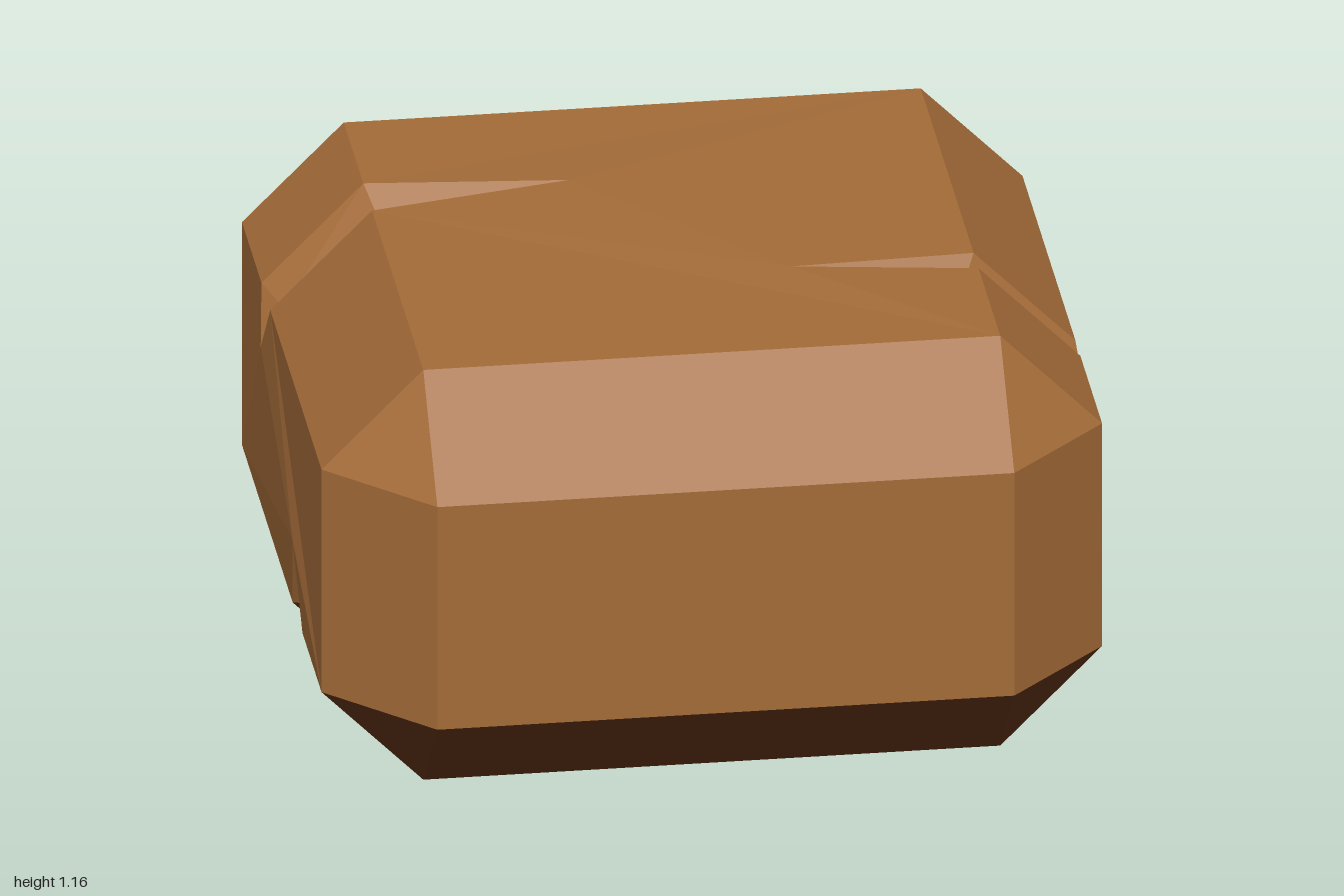
import * as THREE from 'three';

// Chamfered block: outer half-width A, flat half-width a, half-height H, chamfer start h
const A = 0.985, a = 0.728, H = 0.567, h = 0.308, CENTRE_Y = 0.588;

// Cracks running over an upper (sy = 1) or lower (sy = -1) edge of the x sides
const cracks = [
  { sx: 1, sy: 1, z: 0.285, w: 0.045, tip: 0.26, apex: 0.21, depth: 0.06 },
  { sx: -1, sy: 1, z: -0.29, w: 0.08, tip: 0.22, apex: 0.17, depth: 0.07 },
  { sx: -1, sy: -1, z: 0.29, w: 0.09, tip: 0.3, apex: 0.09, depth: 0.07 },
];

const crackAt = (sx, sy) => cracks.find((c) => c.sx === sx && c.sy === sy);

export function createModel() {
  const group = new THREE.Group();
  const brown = new THREE.MeshStandardMaterial({ color: 0xa36b38 });
  brown.name = 'warm brown';
  const dark = new THREE.MeshStandardMaterial({ color: 0x5c3115 });
  dark.name = 'dark brown';
  const parts = {};

  // Adds a polygon, triangulated along its main axis and turned towards out
  function face(part, points, out) {
    const list = (parts[part] ??= []);
    const p = points.map((q) => new THREE.Vector3(...q));
    const dir = new THREE.Vector3(...out);
    const [ax, ay, az] = out.map(Math.abs);
    const flat = p.map((v) => ax >= ay && ax >= az ? new THREE.Vector2(v.z, v.y)
      : ay >= az ? new THREE.Vector2(v.x, v.z) : new THREE.Vector2(v.x, v.y));
    for (const [i, j, k] of THREE.ShapeUtils.triangulateShape(flat, [])) {
      const n = p[j].clone().sub(p[i]).cross(p[k].clone().sub(p[i]));
      const order = n.dot(dir) < 0 ? [i, k, j] : [i, j, k];
      for (const m of order) list.push(p[m].x, p[m].y, p[m].z);
    }
  }

  for (const sy of [1, -1]) {
    // Top and bottom, with crack mouths cut into the outline
    const outline = [];
    for (const sx of [1, -1]) {
      const c = crackAt(sx, sy);
      outline.push([sx * a, sy * H, -sx * a]);
      if (c) {
        outline.push([sx * a, sy * H, c.z - sx * c.w],
          [sx * c.tip, sy * (H + 0.014), c.z],
          [sx * a, sy * H, c.z + sx * c.w]);
      }
      outline.push([sx * a, sy * H, sx * a]);
    }
    face(sy > 0 ? 'top' : 'bottom', outline, [0, sy, 0]);

    const bevel = sy > 0 ? 'upperBevels' : 'lowerBevels';
    for (const s of [1, -1]) {
      // Front and back bevels
      face(bevel, [[-a, sy * H, s * a], [a, sy * H, s * a], [a, sy * h, s * A], [-a, sy * h, s * A]], [0, sy, s]);
      // Side bevels, split where a crack crosses
      const c = crackAt(s, sy);
      const spans = c ? [[-a, c.z - c.w], [c.z + c.w, a]] : [[-a, a]];
      for (const [z0, z1] of spans) {
        face(bevel, [[s * a, sy * H, z0], [s * a, sy * H, z1], [s * A, sy * h, z1], [s * A, sy * h, z0]], [s, sy, 0]);
      }
      // Corner triangles
      for (const sz of [1, -1]) {
        face(bevel, [[s * a, sy * H, sz * a], [s * A, sy * h, sz * a], [s * a, sy * h, sz * A]], [s, sy, sz]);
      }
    }
  }

  for (const s of [1, -1]) {
    // Front and back walls
    face('frontAndBack', [[-a, -h, s * A], [a, -h, s * A], [a, h, s * A], [-a, h, s * A]], [0, 0, s]);
    // Side walls with crack ends cut into the outline
    const outline = [];
    for (const sy of [1, -1]) {
      const c = crackAt(s, sy);
      outline.push([s * A, sy * h, -sy * a]);
      if (c) {
        outline.push([s * A, sy * h, c.z - sy * c.w],
          [s * 0.998, sy * c.apex, c.z],
          [s * A, sy * h, c.z + sy * c.w]);
      }
      outline.push([s * A, sy * h, sy * a]);
    }
    face('sides', outline, [s, 0, 0]);
    // Upright corners
    for (const sz of [1, -1]) {
      face('uprightCorners', [[s * A, h, sz * a], [s * A, -h, sz * a], [s * a, -h, sz * A], [s * a, h, sz * A]], [s, 0, sz]);
    }
  }

  // Sloping walls inside each crack
  for (const { sx, sy, z, w, tip, apex, depth } of cracks) {
    const at = (x, y, pz) => [sx * x, sy * y, pz];
    const f1 = at(a - 0.03, H - depth, z);
    const f2 = at(A - 0.045, h - depth * 0.5, z);
    const main = sy > 0 ? 'upperCracks' : 'lowerCracks';
    for (const s of [1, -1]) {
      const e1 = at(a, H, z + s * w), e2 = at(A, h, z + s * w);
      const wall = (part, p, q, r) => {
        // Triangulated in the x-y plane, facing the crack centre
        face(part, [p, q, r], [0, 0, -s]);
      };
      wall(main, at(tip, H + 0.014, z), e1, f1);
      wall(main, e1, e2, f2);
      wall(main, e1, f2, f1);
      wall('crackEnds', e2, at(0.998, apex, z), f2);
    }
  }

  const darkParts = ['bottom', 'lowerBevels', 'lowerCracks'];
  for (const [name, list] of Object.entries(parts)) {
    const geometry = new THREE.BufferGeometry();
    geometry.setAttribute('position', new THREE.Float32BufferAttribute(list, 3));
    geometry.computeVertexNormals();
    const mesh = new THREE.Mesh(geometry, darkParts.includes(name) ? dark : brown);
    mesh.name = name;
    mesh.position.y = CENTRE_Y;
    group.add(mesh);
  }
  group.name = 'crackedBlock';
  return group;
}
